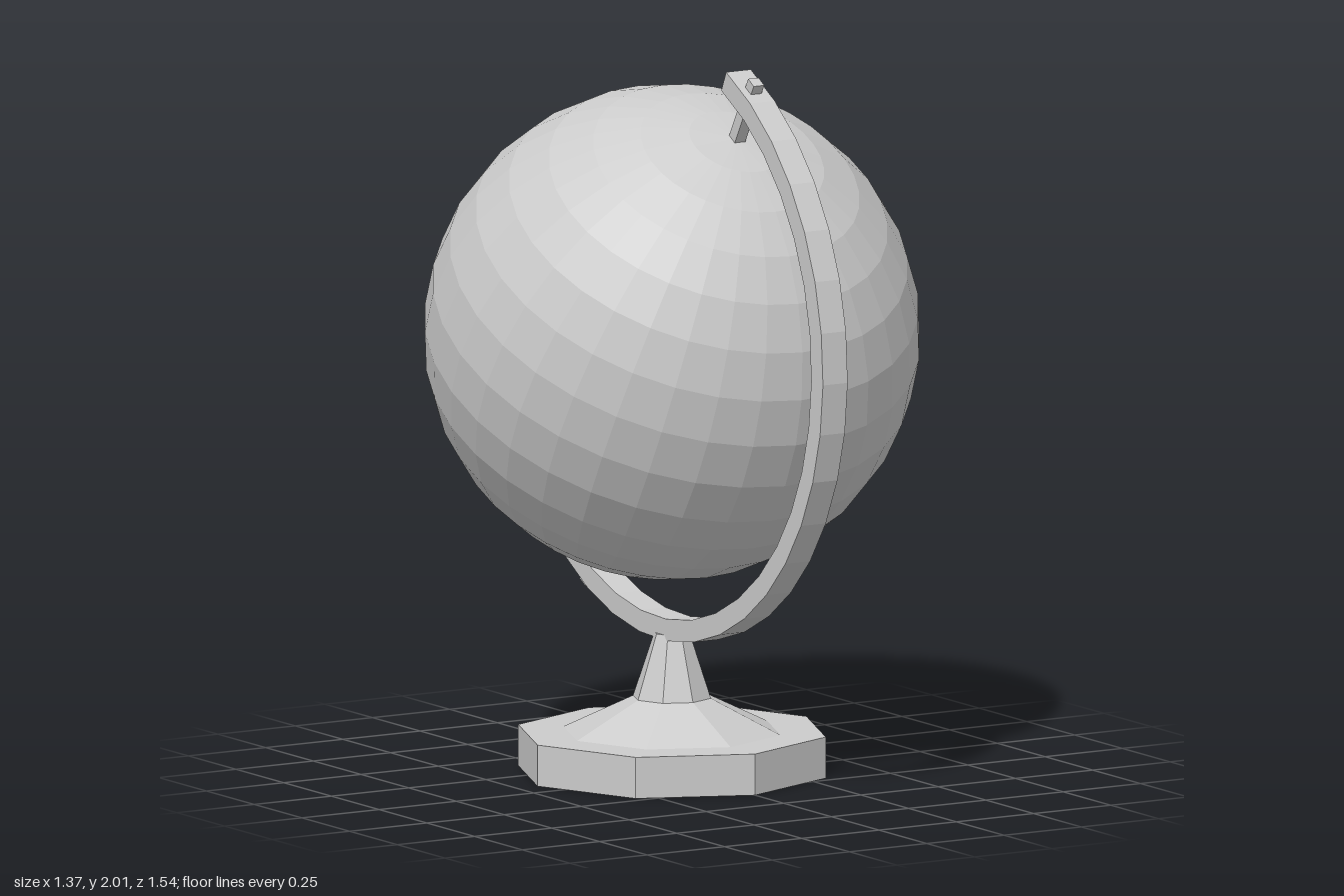
import * as THREE from 'three';

export function createModel() {
  const model = new THREE.Group();
  model.name = 'deskGlobe';
  const material = new THREE.MeshStandardMaterial({ color: 0xcccccc, flatShading: true });

  const add = (parent, name, geometry) => {
    const mesh = new THREE.Mesh(geometry, material);
    mesh.name = name;
    parent.add(mesh);
    return mesh;
  };

  // Octagonal stand: plinth, sloped shoulder and tapered neck
  const profile = [[0, 0], [0.435, 0], [0.435, 0.115], [0.307, 0.115], [0.11, 0.21], [0.05, 0.39], [0, 0.39]];
  const stand = add(model, 'stand',
    new THREE.LatheGeometry(profile.map(([r, y]) => new THREE.Vector2(r, y)), 8));
  stand.position.z = -0.085;

  // Everything on the axis leans 30 degrees towards the front
  const tilted = new THREE.Group();
  tilted.name = 'tiltedGlobe';
  tilted.position.set(0, 1.23, -0.085);
  tilted.rotation.x = Math.PI / 6;
  model.add(tilted);

  add(tilted, 'sphere', new THREE.SphereGeometry(0.685, 32, 16));
  add(tilted, 'axle', new THREE.BoxGeometry(0.034, 1.765, 0.034));

  // Meridian arm: flat band reaching just past both poles
  const segments = 20, start = -6, sweep = 192, width = 0.08;
  const rim = (radius) => Array.from({ length: segments + 1 }, (_, i) => {
    const a = THREE.MathUtils.degToRad(start + sweep * i / segments);
    return new THREE.Vector2(radius * Math.sin(a), radius * Math.cos(a));
  });
  const band = new THREE.Shape([...rim(0.856), ...rim(0.795).reverse()]);
  const armGeometry = new THREE.ExtrudeGeometry(band, { depth: width, bevelEnabled: false });
  armGeometry.translate(0, 0, -width / 2);
  armGeometry.rotateY(-Math.PI / 2);
  add(tilted, 'meridianArm', armGeometry);

  return model;
}
